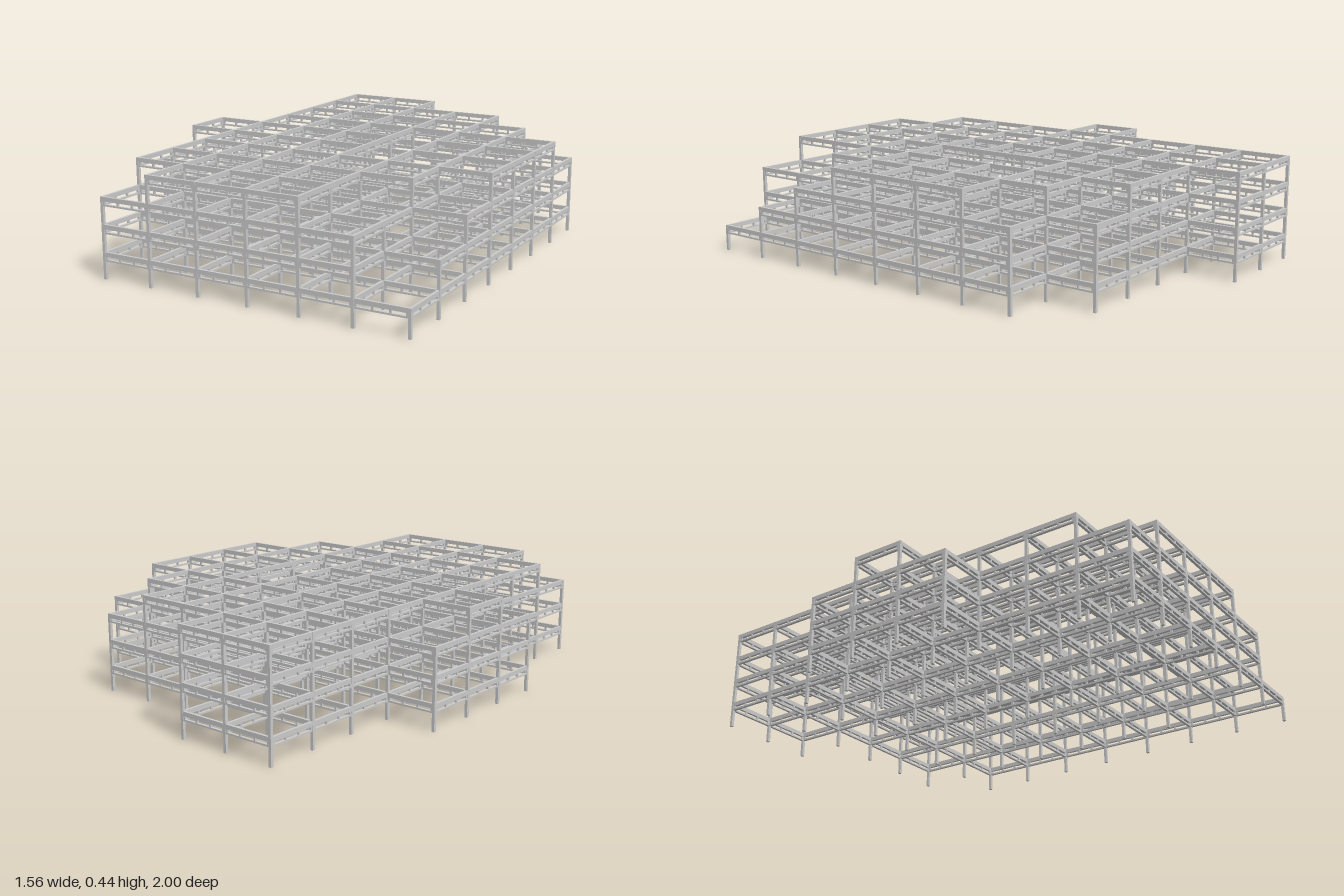
import * as THREE from 'three';
import { mergeGeometries } from 'three/addons/utils/BufferGeometryUtils.js';

// Number of storeys on each bay: rows run back to front, digits run from -x to +x
const STOREYS = [
  '0440000',
  '0444430',
  '0444443',
  '3444044',
  '4444044',
  '3444044',
  '0444443',
  '0444432',
  '0344431',
];
const POST = 0.012;               // post thickness
const BAY = (2 - POST) / 9;       // bay size in plan
const FLOOR = 0.1108;             // storey height
const NX = 7, NZ = 9;

const storeys = (i, j) => Number(STOREYS[j]?.[i] ?? 0);
const px = (i) => (i - NX / 2) * BAY;
const pz = (j) => (j - NZ / 2) * BAY;

function box(w, h, d, x, y, z) {
  return new THREE.BoxGeometry(w, h, d).translate(x, y, z);
}

// Open-web beam along x, its top face at y = 0
function beamGeometry() {
  const depth = 0.037, top = 0.018, bottom = 0.007, width = 0.011;
  const length = BAY - POST;
  const parts = [
    box(length, top, width, 0, -top / 2, 0),
    box(length, bottom, width, 0, -depth + bottom / 2, 0),
  ];
  const webHeight = depth - top - bottom;
  for (const s of [-1, 1]) {
    // intermediate web posts and end plates
    parts.push(box(0.008, webHeight, 0.008, s * length / 6, -top - webHeight / 2, 0));
    parts.push(box(0.008, webHeight, 0.008, s * (length / 2 - 0.004), -top - webHeight / 2, 0));
  }
  return mergeGeometries(parts);
}

export function createModel() {
  const model = new THREE.Group();
  model.name = 'steppedFrame';
  const material = new THREE.MeshStandardMaterial({ color: 0xcccccc });

  // Posts at every grid node, as tall as the highest adjoining bay
  const posts = new THREE.Group();
  posts.name = 'posts';
  model.add(posts);
  for (let j = 0; j <= NZ; j++) {
    for (let i = 0; i <= NX; i++) {
      const n = Math.max(storeys(i, j), storeys(i - 1, j), storeys(i, j - 1), storeys(i - 1, j - 1));
      if (!n) continue;
      const post = new THREE.Mesh(box(POST, n * FLOOR, POST, 0, n * FLOOR / 2, 0), material);
      post.name = 'post';
      post.position.set(px(i), 0, pz(j));
      posts.add(post);
    }
  }

  // Beams around every bay of each floor
  const alongX = beamGeometry();
  const alongZ = alongX.clone().rotateY(Math.PI / 2);
  for (let level = 1; level <= 4; level++) {
    const floor = new THREE.Group();
    floor.name = 'floorBeams' + level;
    floor.position.y = level * FLOOR;
    model.add(floor);
    const addBeam = (geometry, name, x, z) => {
      const beam = new THREE.Mesh(geometry, material);
      beam.name = name;
      beam.position.set(x, 0, z);
      floor.add(beam);
    };
    for (let j = 0; j <= NZ; j++) {
      for (let i = 0; i <= NX; i++) {
        if (Math.max(storeys(i, j), storeys(i, j - 1)) >= level) addBeam(alongX, 'crossBeam', px(i + 0.5), pz(j));
        if (Math.max(storeys(i, j), storeys(i - 1, j)) >= level) addBeam(alongZ, 'longBeam', px(i), pz(j + 0.5));
      }
    }
  }
  return model;
}
